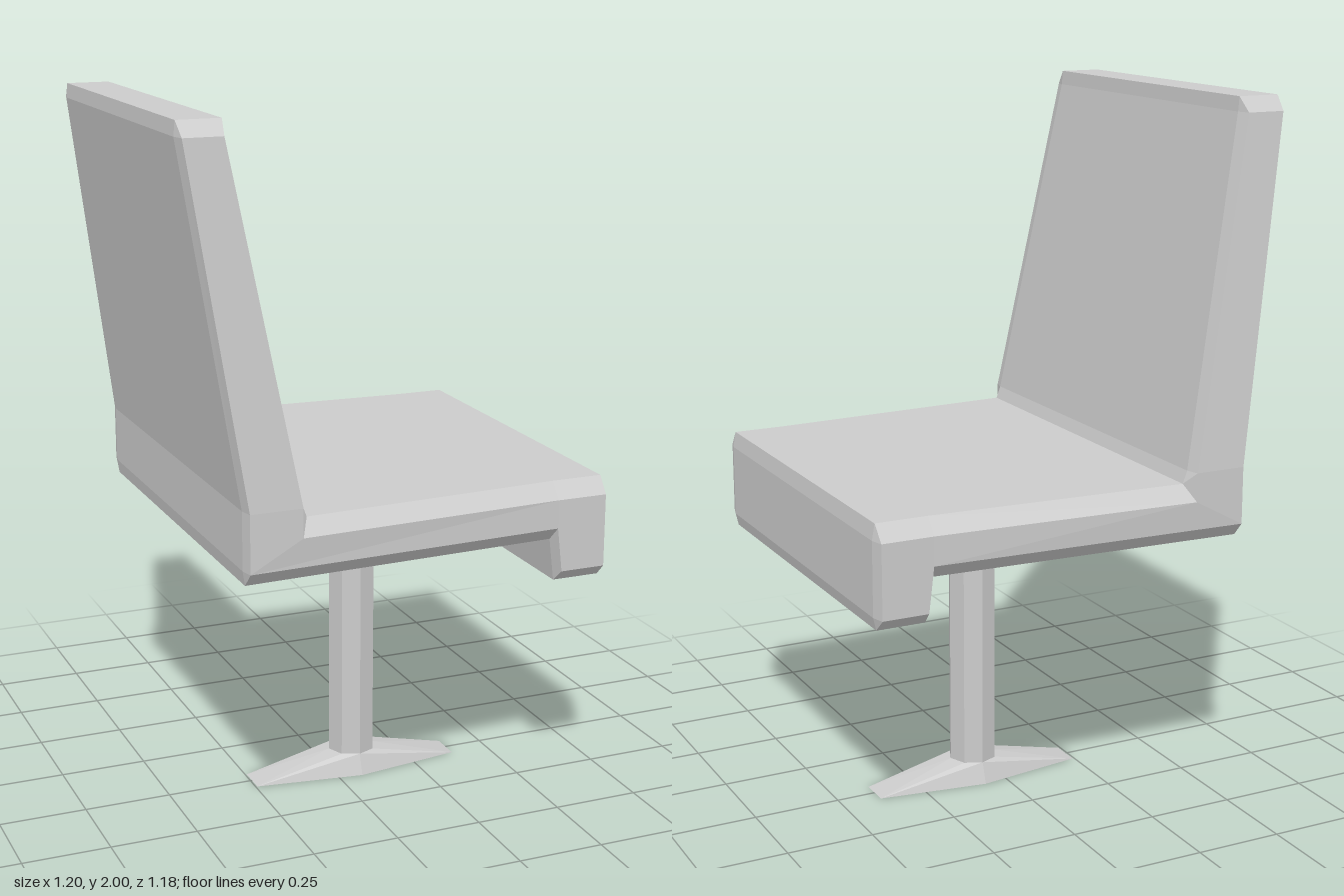
import * as THREE from 'three';
import { ConvexGeometry } from 'three/addons/geometries/ConvexGeometry.js';

const grey = new THREE.MeshStandardMaterial({ color: 0xcccccc, flatShading: true });

// Corners of the side panel, counter-clockwise: x, y, half width
const side = [
  [-0.458, 0.86, 0.59], // 0 rear bottom
  [0.445, 0.86, 0.55], // 1 notch
  [0.46, 0.735, 0.55], // 2 lip rear
  [0.59, 0.735, 0.55], // 3 lip front
  [0.59, 0.94, 0.55], // 4 seat front
  [0.445, 0.94, 0.55], // 5 end of seat taper
  [-0.313, 0.94, 0.59], // 6 inner corner
  [-0.313, 1.02, 0.59], // 7 backrest foot
  [-0.487, 1.96, 0.52], // 8 backrest top front
  [-0.595, 1.96, 0.52], // 9 backrest top rear
  [-0.458, 1.02, 0.59], // 10 backrest rear bend
];
// Outer rim: x, y, index of the side corner it is bevelled from
const rim = [
  [-0.466, 0.86, 0], [-0.46, 0.82, 0],
  [0.44, 0.82, 1],
  [0.455, 0.70, 2],
  [0.592, 0.70, 3], [0.60, 0.735, 3],
  [0.60, 0.94, 4], [0.592, 0.985, 4],
  [0.445, 0.985, 5],
  [-0.29, 0.985, 6],
  [-0.303, 1.02, 7],
  [-0.477, 1.96, 8], [-0.48, 2.0, 8],
  [-0.60, 2.0, 9], [-0.604, 1.96, 9],
  [-0.466, 1.02, 10],
];
const panels = [[0, 1, 5, 6], [1, 2, 3, 4, 5], [10, 0, 6, 7], [10, 7, 8, 9]];
const bevel = 0.037;

function cushionGeometry() {
  const pos = [];
  const face = (...p) => {
    for (let i = 1; i < p.length - 1; i++) pos.push(...p[0], ...p[i], ...p[i + 1]);
  };
  const sidePoint = (i, s) => [side[i][0], side[i][1], s * side[i][2]];
  const rimPoint = (r, s) => [r[0], r[1], s * (side[r[2]][2] - bevel)];

  // Flat side panels
  for (const p of panels) {
    face(...p.map((i) => sidePoint(i, 1)));
    face(...p.map((i) => sidePoint(i, -1)).reverse());
  }
  // Rim across the width and bevels along both sides
  rim.forEach((a, k) => {
    const b = rim[(k + 1) % rim.length];
    face(rimPoint(a, 1), rimPoint(a, -1), rimPoint(b, -1), rimPoint(b, 1));
    for (const s of [1, -1]) {
      const strip = [sidePoint(a[2], s), rimPoint(a, s), rimPoint(b, s)];
      if (a[2] !== b[2]) strip.push(sidePoint(b[2], s));
      face(...(s > 0 ? strip : strip.reverse()));
    }
  });
  const g = new THREE.BufferGeometry();
  g.setAttribute('position', new THREE.Float32BufferAttribute(pos, 3));
  g.computeVertexNormals();
  return g;
}

// Sloping foot: long hexagon on the floor, octagon around the post
function footGeometry(radius) {
  const pts = [];
  for (const s of [1, -1]) {
    pts.push(new THREE.Vector3(0, 0, s * 0.09));
    for (const e of [1, -1]) pts.push(new THREE.Vector3(e * 0.315, 0, s * 0.045));
  }
  for (let i = 0; i < 8; i++) {
    const a = (i * Math.PI) / 4;
    pts.push(new THREE.Vector3(radius * Math.cos(a), 0.06, radius * Math.sin(a)));
  }
  return new ConvexGeometry(pts);
}

export function createModel() {
  const model = new THREE.Group();
  model.name = 'pedestalSeat';
  const add = (name, geometry, x, y) => {
    const mesh = new THREE.Mesh(geometry, grey);
    mesh.name = name;
    mesh.position.set(x, y, 0);
    model.add(mesh);
  };
  add('seatAndBackrest', cushionGeometry(), 0, 0);
  add('post', new THREE.CylinderGeometry(0.07, 0.07, 0.78, 8), 0.07, 0.44);
  add('foot', footGeometry(0.07), 0.07, 0);
  return model;
}
